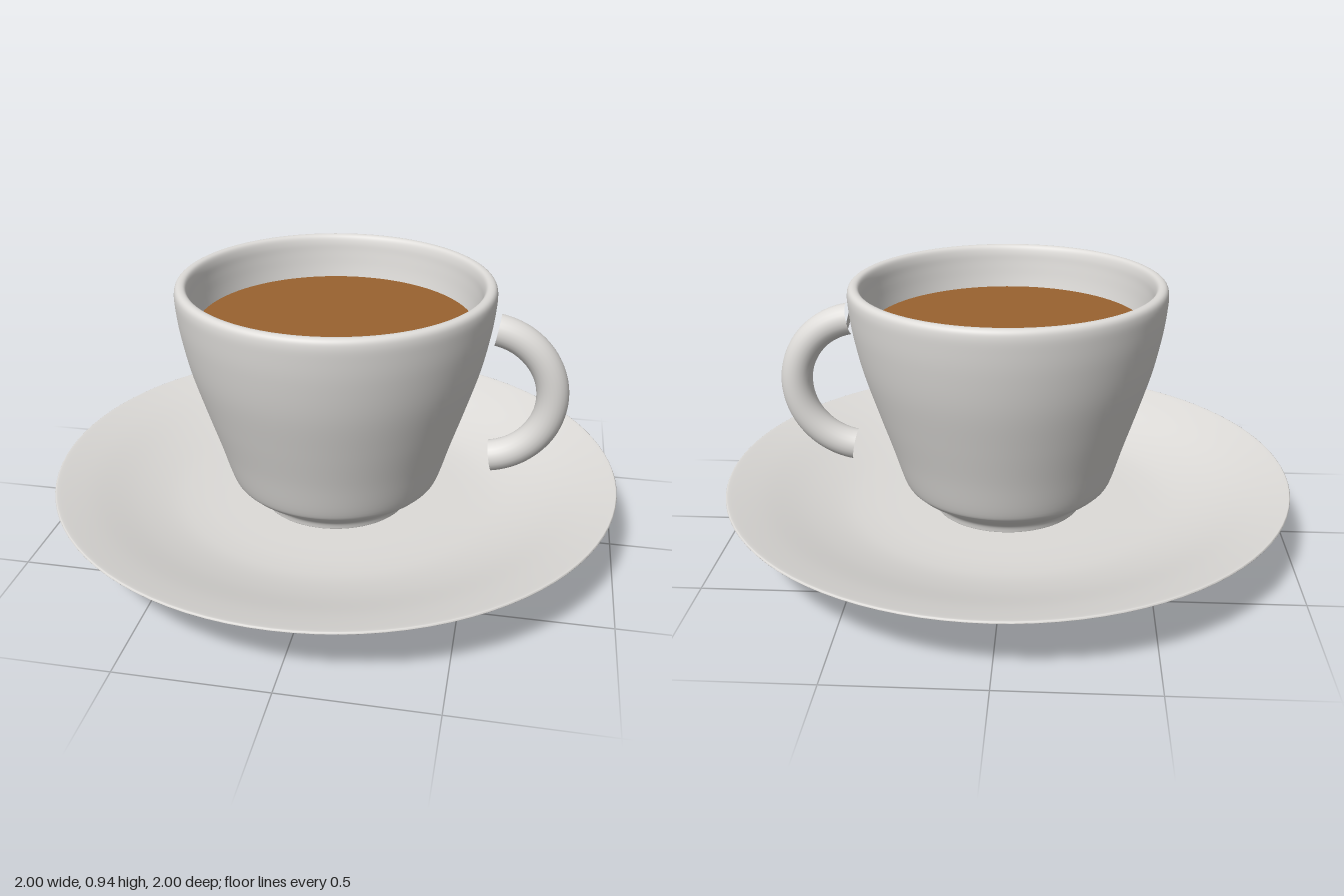
import * as THREE from 'three';

const porcelain = new THREE.MeshStandardMaterial({ color: 0xdddbd8 });
porcelain.name = 'porcelain';
const coffeeBrown = new THREE.MeshStandardMaterial({ color: 0x99622f });
coffeeBrown.name = 'coffeeBrown';

// Smooth profile through [radius, height] points
function curve(points, divisions) {
  return new THREE.SplineCurve(points.map(p => new THREE.Vector2(...p))).getPoints(divisions);
}

function addMesh(group, name, geometry, material) {
  const mesh = new THREE.Mesh(geometry, material);
  mesh.name = name;
  group.add(mesh);
  return mesh;
}

export function createModel() {
  const model = new THREE.Group();
  model.name = 'cupAndSaucer';

  // Saucer: recessed base, foot ring, flared underside, thin rim, dished top
  const saucerProfile = [
    new THREE.Vector2(0, 0.02),
    ...curve([[0.5, 0.02], [0.52, 0.018], [0.535, 0.004], [0.555, 0], [0.575, 0.012],
      [0.6, 0.042], [0.68, 0.09], [0.87, 0.166], [0.985, 0.217], [1, 0.226]], 50),
    ...curve([[0.998, 0.23], [0.98, 0.228], [0.87, 0.199], [0.72, 0.152],
      [0.6, 0.124], [0.5, 0.114], [0.4, 0.112]], 30),
    new THREE.Vector2(0, 0.112),
  ];
  addMesh(model, 'saucer', new THREE.LatheGeometry(saucerProfile, 96), porcelain);

  // Cup: narrow foot, rounded shoulder, flared wall, rounded rim, hollow inside
  const cupProfile = [
    new THREE.Vector2(0, 0.11),
    ...curve([[0.265, 0.11], [0.275, 0.14], [0.315, 0.17], [0.355, 0.2], [0.377, 0.235],
      [0.415, 0.36], [0.46, 0.5], [0.505, 0.65], [0.532, 0.78], [0.543, 0.87],
      [0.544, 0.91], [0.537, 0.929], [0.522, 0.935], [0.507, 0.929], [0.498, 0.905],
      [0.492, 0.86], [0.475, 0.76], [0.415, 0.5], [0.335, 0.25], [0.27, 0.19]], 100),
    new THREE.Vector2(0, 0.18),
  ];
  addMesh(model, 'cup', new THREE.LatheGeometry(cupProfile, 96), porcelain);

  // Coffee surface
  const coffee = addMesh(model, 'coffee', new THREE.CircleGeometry(0.478, 96), coffeeBrown);
  coffee.rotation.x = -Math.PI / 2;
  coffee.position.y = 0.78;

  // Handle: round arc with flat closed ends
  const handle = new THREE.Group();
  handle.name = 'handle';
  handle.position.set(0.51, 0.555, 0);
  const reach = THREE.MathUtils.degToRad(80), major = 0.241, minor = 0.055;
  const arc = addMesh(handle, 'handleArc',
    new THREE.TorusGeometry(major, minor, 24, 48, reach * 2), porcelain);
  arc.rotation.z = -reach;
  for (const side of [1, -1]) {
    const end = addMesh(handle, 'handleEnd', new THREE.CircleGeometry(minor, 24), porcelain);
    const a = side * reach;
    end.position.set(Math.cos(a) * major, Math.sin(a) * major, 0);
    end.lookAt(end.position.x - side * Math.sin(a), end.position.y + side * Math.cos(a), 0);
  }
  model.add(handle);

  return model;
}
